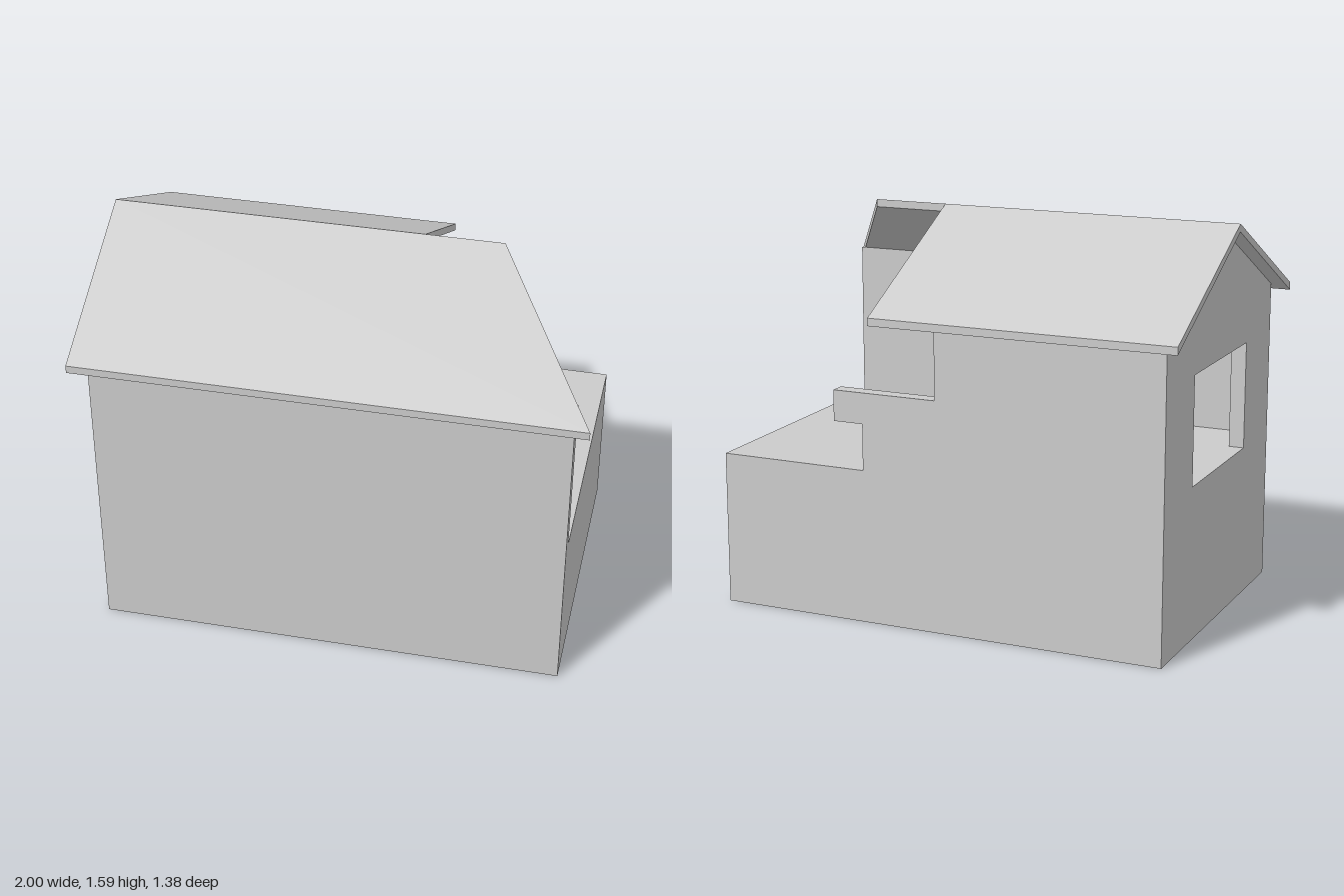
import * as THREE from 'three';

const W = 0.9375, D = 0.625, FLOOR = 0.625, T = 0.0625;
const RIDGE = 1.59375, ROOF_T = 0.03125, SLOPE = 0.5;
const underside = (z) => RIDGE - ROOF_T - SLOPE * Math.abs(z);

const material = new THREE.MeshStandardMaterial({ color: 0xcccccc, flatShading: true });

function extrude(points, depth) {
  const shape = new THREE.Shape(points.map(([u, v]) => new THREE.Vector2(u, v)));
  return new THREE.ExtrudeGeometry(shape, { depth, bevelEnabled: false });
}

// Profile given as [z, y], running from x0 to x1
function alongX(points, x0, x1) {
  return extrude(points, x1 - x0).rotateY(-Math.PI / 2).translate(x1, 0, 0);
}

// Plan outline given as [x, z], draped over the roof pitch
function roofSlab(points) {
  const geometry = extrude(points, ROOF_T).rotateX(Math.PI / 2);
  const pos = geometry.attributes.position;
  for (let i = 0; i < pos.count; i++) {
    pos.setY(i, pos.getY(i) + RIDGE - SLOPE * Math.abs(pos.getZ(i)));
  }
  geometry.computeVertexNormals();
  return geometry;
}

// Upright wall whose top follows the roof pitch
const sideWall = (zIn, zOut, x0, x1) => alongX(
  [[zIn, FLOOR], [zOut, FLOOR], [zOut, underside(zOut)], [zIn, underside(zIn)]], x0, x1);

export function createModel() {
  const group = new THREE.Group();
  const add = (name, geometry) => {
    const mesh = new THREE.Mesh(geometry, material);
    mesh.name = name;
    group.add(mesh);
  };

  // Solid base with the floor on top
  add('base', new THREE.BoxGeometry(2 * W, FLOOR, 2 * D).translate(0, FLOOR / 2, 0));

  // Gable end with a window opening down to the floor
  const win = 0.3125, winTop = 1.0625;
  add('gableWall', alongX([
    [-D, FLOOR], [-win, FLOOR], [-win, winTop], [win, winTop], [win, FLOOR], [D, FLOOR],
    [D, underside(D)], [0, underside(0)], [-D, underside(D)],
  ], -W, -W + T));

  // Full-length front wall, and the half-length back wall
  add('frontWall', sideWall(D - T, D, -W + T, W));
  add('backWall', sideWall(-D + T, -D, -W + T, 0));

  // Broken, stepped end of the back wall
  add('brokenWall', extrude([
    [0, FLOOR], [0.3125, FLOOR], [0.3125, 0.8125], [0.4375, 0.8125], [0.4375, 0.9375], [0, 0.9375],
  ], T).translate(0, 0, -D));

  // Roof slopes, the front one cut diagonally
  const eave = 0.6875;
  add('frontRoof', roofSlab([[-1, 0], [0.5625, 0], [1, eave], [-1, eave]]));
  add('backRoof', roofSlab([[-1, -eave], [0.25, -eave], [0.25, 0], [-1, 0]]));

  return group;
}
